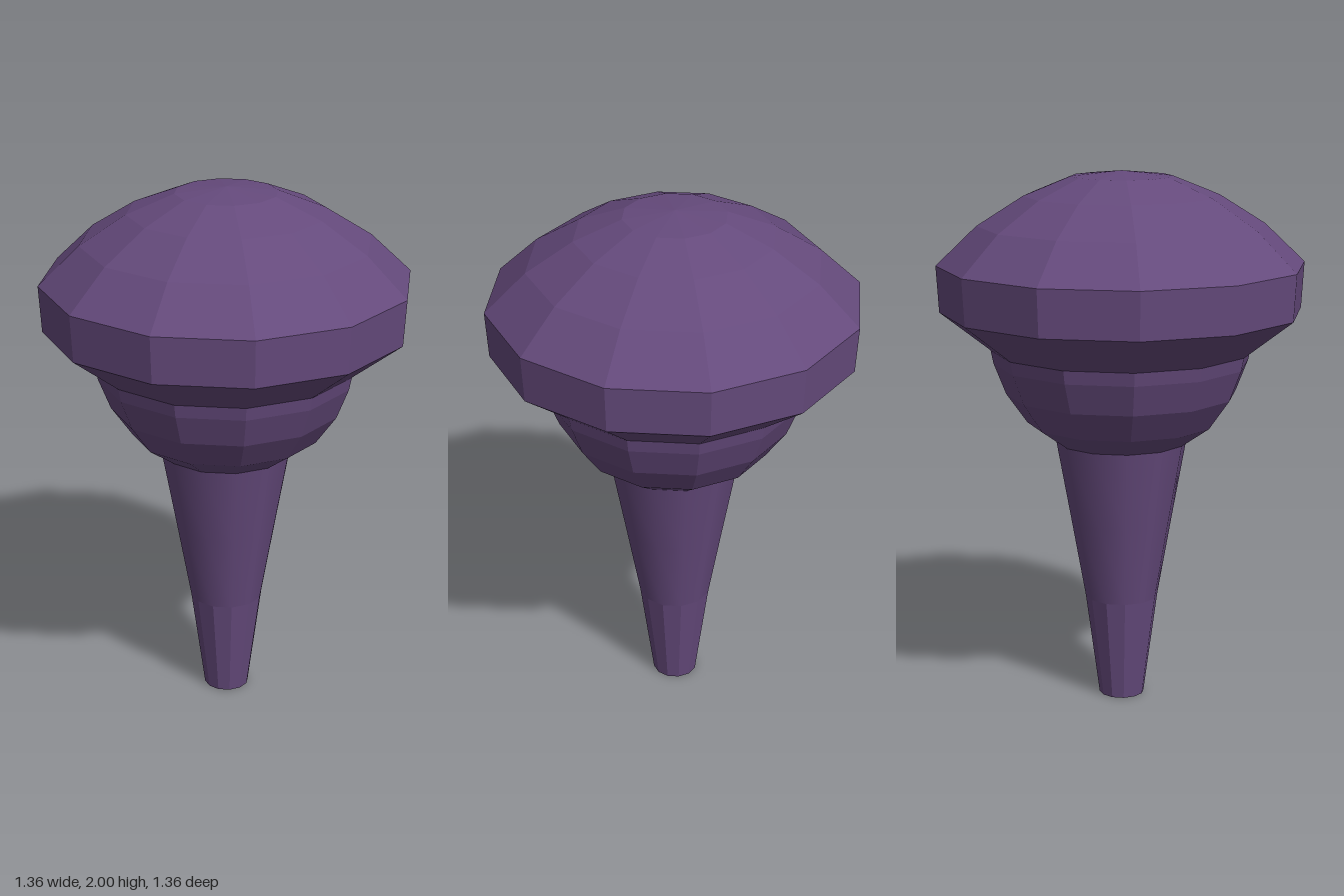
import * as THREE from 'three';

const SIDES = 12;

export function createModel() {
  const model = new THREE.Group();
  const flat = new THREE.MeshStandardMaterial({ color: 0x654a7c, flatShading: true, side: THREE.DoubleSide });
  const smooth = new THREE.MeshStandardMaterial({ color: 0x654a7c, side: THREE.DoubleSide });

  // Turns a [radius, height] profile, listed bottom to top, into a twelve-sided part
  const turned = (name, profile, material) => {
    const points = profile.map(([r, y]) => new THREE.Vector2(r, y));
    const mesh = new THREE.Mesh(new THREE.LatheGeometry(points, SIDES), material);
    mesh.name = name;
    model.add(mesh);
  };

  // Stem: hollowed foot, faceted lower end, smooth flared upper length
  turned('stemRecess', [[0, 0.08], [0.085, 0]], flat);
  turned('stemTip', [[0.085, 0], [0.137, 0.39]], flat);
  turned('stem', [[0.137, 0.39], [0.19, 0.69], [0.245, 0.995]], smooth);

  // Rounded cup under the cap
  turned('cup', [[0, 0.995], [0.245, 0.995], [0.352, 1.07], [0.43, 1.18], [0.475, 1.295], [0.485, 1.345]], flat);

  // Wide cap with a flared underside, upright rim and domed top
  turned('cap', [
    [0.485, 1.345], [0.67, 1.488], [0.68, 1.66],
    [0.53, 1.803], [0.36, 1.91], [0.187, 1.98], [0, 2],
  ], flat);

  return model;
}
